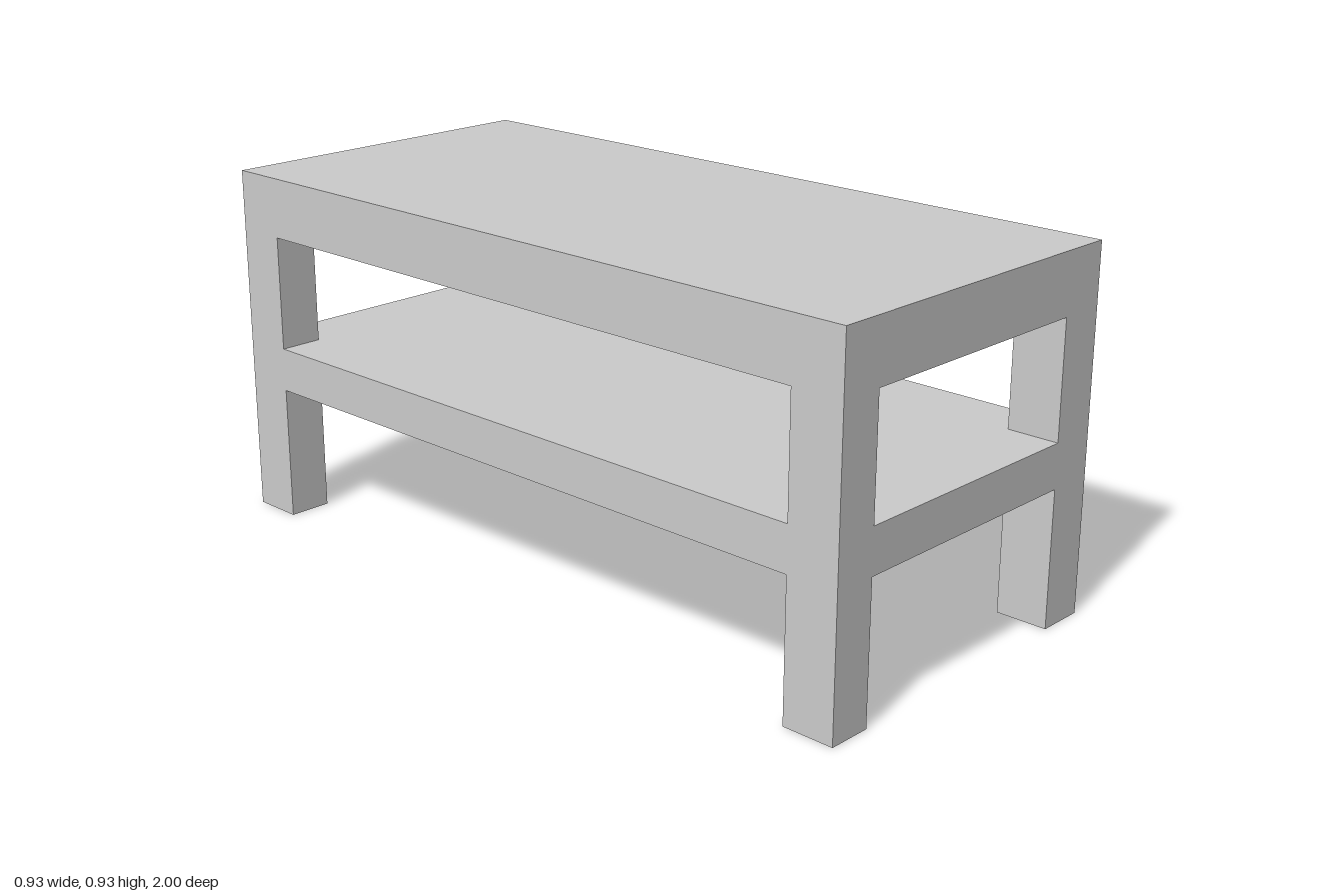
import * as THREE from 'three';

// Key lines: outer edges, inner faces of the legs, and heights
const X0 = -0.464, X1 = 0.464, IX0 = -0.349, IX1 = 0.337;
const Z = 1, IZ = 0.863;
const SHELF_LOW = 0.355, SHELF_TOP = 0.47, SLAB_LOW = 0.771, TOP = 0.928;

const material = new THREE.MeshStandardMaterial({
  color: 0xcccccc, flatShading: true, side: THREE.DoubleSide,
});

const points = (list) => list.map(([x, y]) => new THREE.Vector2(x, y));

function add(parent, name, geometry, position, rotation = [0, 0, 0]) {
  const mesh = new THREE.Mesh(geometry, material);
  mesh.name = name;
  mesh.position.set(...position);
  mesh.rotation.set(...rotation);
  parent.add(mesh);
}

// Upright outer face: two legs, the shelf edge and the tabletop edge, with a window
function frameFace(a, ia, ib, b) {
  const shape = new THREE.Shape(points([
    [a, 0], [ia, 0], [ia, SHELF_LOW], [ib, SHELF_LOW], [ib, 0], [b, 0], [b, TOP], [a, TOP],
  ]));
  shape.holes.push(new THREE.Path(points([
    [ia, SHELF_TOP], [ia, SLAB_LOW], [ib, SLAB_LOW], [ib, SHELF_TOP],
  ])));
  return new THREE.ShapeGeometry(shape);
}

// Horizontal face notched at the four corners where the legs pass
function notchedFace() {
  return new THREE.ShapeGeometry(new THREE.Shape(points([
    [IX0, -Z], [IX1, -Z], [IX1, -IZ], [X1, -IZ], [X1, IZ], [IX1, IZ],
    [IX1, Z], [IX0, Z], [IX0, IZ], [X0, IZ], [X0, -IZ], [IX0, -IZ],
  ])));
}

export function createModel() {
  const table = new THREE.Group();
  table.name = 'coffeeTable';
  const up = [-Math.PI / 2, 0, 0], down = [Math.PI / 2, 0, 0];

  // Outer frame faces
  add(table, 'frontFrame', frameFace(X0, IX0, IX1, X1), [0, 0, Z]);
  add(table, 'backFrame', frameFace(-X1, -IX1, -IX0, -X0), [0, 0, -Z], [0, Math.PI, 0]);
  add(table, 'leftFrame', frameFace(-Z, -IZ, IZ, Z), [X1, 0, 0], [0, Math.PI / 2, 0]);
  add(table, 'rightFrame', frameFace(-Z, -IZ, IZ, Z), [X0, 0, 0], [0, -Math.PI / 2, 0]);

  // Tabletop and lower shelf
  add(table, 'tabletop', new THREE.PlaneGeometry(X1 - X0, 2 * Z), [(X0 + X1) / 2, TOP, 0], up);
  add(table, 'tabletopUnderside', notchedFace(), [0, SLAB_LOW, 0], down);
  add(table, 'shelfTop', notchedFace(), [0, SHELF_TOP, 0], up);
  add(table, 'shelfUnderside', notchedFace(), [0, SHELF_LOW, 0], down);

  // Inward faces of the hollow legs, below and above the shelf; feet stay open
  for (const [side, outer, inner] of [['Left', X1, IX1], ['Right', X0, IX0]]) {
    for (const sz of [1, -1]) {
      const leg = new THREE.Group();
      leg.name = (sz > 0 ? 'front' : 'back') + side + 'Leg';
      for (const [y0, y1] of [[0, SHELF_LOW], [SHELF_TOP, SLAB_LOW]]) {
        const h = y1 - y0, y = (y0 + y1) / 2;
        add(leg, 'legInnerSide', new THREE.PlaneGeometry(Z - IZ, h),
          [inner, y, sz * (Z + IZ) / 2], [0, -Math.sign(outer) * Math.PI / 2, 0]);
        add(leg, 'legInnerEnd', new THREE.PlaneGeometry(Math.abs(outer - inner), h),
          [(outer + inner) / 2, y, sz * IZ], [0, sz > 0 ? Math.PI : 0, 0]);
      }
      table.add(leg);
    }
  }
  return table;
}
